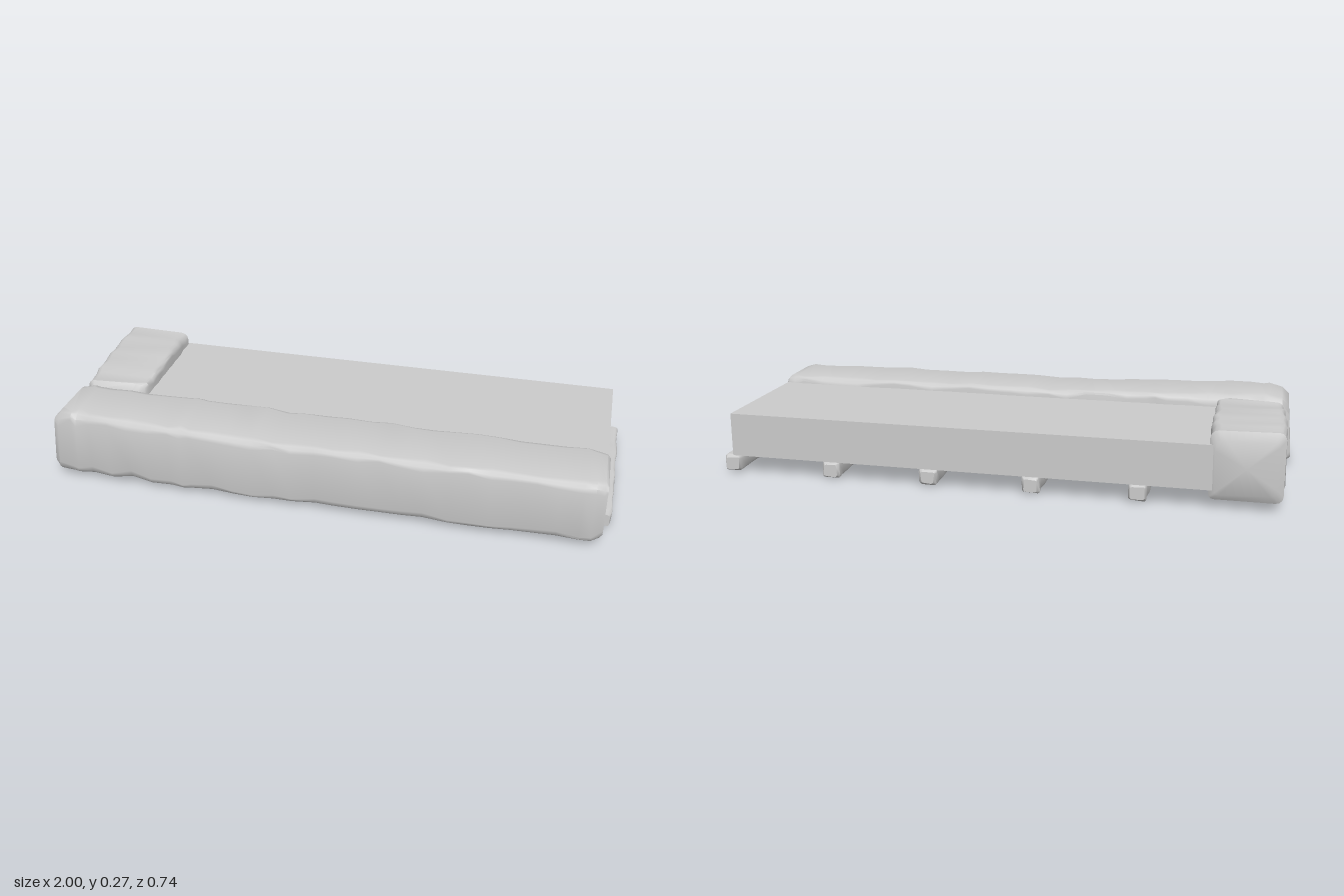
import * as THREE from 'three';
import { toCreasedNormals } from 'three/addons/utils/BufferGeometryUtils.js';

const material = new THREE.MeshStandardMaterial({ color: 0xcccccc });

// Small seeded noise in -1..1
function makeRandom(seed) {
  return () => {
    seed = (seed * 16807) % 2147483647;
    return (seed / 2147483647) * 2 - 1;
  };
}

// Linear lookup in key rows [x, zMin, zMax, yMin, yMax, cornerRadius]
function sample(keys, x) {
  let k = 0;
  while (k < keys.length - 2 && x > keys[k + 1][0]) k++;
  const a = keys[k], b = keys[k + 1];
  const t = (x - a[0]) / (b[0] - a[0]);
  return a.map((v, i) => v + (b[i] - v) * t);
}

// Rough-hewn block lofted along x through worn, rounded-rectangle sections
function roughBlock(keys, { inner, wear, seed, lean = 0 }) {
  const random = makeRandom(seed);
  const first = keys[0][0], last = keys[keys.length - 1][0];
  const xs = keys.map((k) => k[0]);
  for (let i = 1; i < inner; i++) {
    const x = first + ((last - first) * i) / inner;
    if (xs.every((v) => Math.abs(v - x) > 0.012)) xs.push(x);
  }
  xs.sort((a, b) => a - b);

  const positions = [], index = [], steps = 3, ring = 4 * (steps + 1);
  xs.forEach((x) => {
    const [, z0, z1, y0, y1, r] = sample(keys, x);
    const fade = Math.max(0, 1 - (x - first) / 0.25);
    for (let c = 0; c < 4; c++) {
      const radius = r * (1 + 0.45 * random());
      const right = c === 0 || c === 3, top = c < 2;
      const dz = wear * random(), dy = wear * random();
      for (let s = 0; s <= steps; s++) {
        const a = (c + s / steps) * Math.PI / 2;
        const y = (top ? y1 - radius : y0 + radius) + radius * Math.sin(a) + dy;
        const z = (right ? z1 - radius : z0 + radius) + radius * Math.cos(a) + dz;
        positions.push(x + lean * fade * (y - y0), y, z);
      }
    }
  });
  for (let i = 0; i < xs.length - 1; i++) {
    for (let j = 0; j < ring; j++) {
      const a = i * ring + j, b = i * ring + ((j + 1) % ring);
      index.push(a, a + ring, b, b, a + ring, b + ring);
    }
  }
  // End caps
  [0, xs.length - 1].forEach((i) => {
    const centre = positions.length / 3, mid = [0, 0, 0];
    for (let j = 0; j < ring; j++) {
      for (let k = 0; k < 3; k++) mid[k] += positions[(i * ring + j) * 3 + k] / ring;
    }
    positions.push(...mid);
    for (let j = 0; j < ring; j++) {
      const a = i * ring + j, b = i * ring + ((j + 1) % ring);
      if (i === 0) index.push(centre, a, b);
      else index.push(centre, b, a);
    }
  });
  const geometry = new THREE.BufferGeometry();
  geometry.setAttribute('position', new THREE.Float32BufferAttribute(positions, 3));
  geometry.setIndex(index);
  return toCreasedNormals(geometry, 0.7);
}

export function createModel() {
  const group = new THREE.Group();
  const add = (name, geometry) => {
    const mesh = new THREE.Mesh(geometry, material);
    mesh.name = name;
    group.add(mesh);
    return mesh;
  };

  // Plain flat slab
  add('slab', new THREE.BoxGeometry(1.71, 0.155, 0.5)).position.set(0.105, 0.1425, -0.115);

  // Long front stone, a little taller at its right end
  add('frontStone', roughBlock([
    [-0.997, 0.145, 0.35, 0.04, 0.235, 0.03],
    [-0.975, 0.125, 0.366, 0.022, 0.262, 0.035],
    [-0.9, 0.122, 0.37, 0.022, 0.272, 0.035],
    [-0.5, 0.122, 0.37, 0.02, 0.26, 0.025],
    [-0.1, 0.12, 0.37, 0.02, 0.248, 0.022],
    [0.05, 0.12, 0.37, 0.02, 0.253, 0.022],
    [0.45, 0.123, 0.37, 0.022, 0.249, 0.025],
    [0.93, 0.12, 0.367, 0.022, 0.248, 0.025],
    [0.957, 0.125, 0.36, 0.025, 0.243, 0.028],
    [0.967, 0.14, 0.35, 0.04, 0.232, 0.028],
  ], { inner: 26, wear: 0.003, seed: 71, lean: 0.09 }));

  // Shorter stone closing the right end; lofted along x, then turned to run along z
  add('endStone', roughBlock([
    [-0.37, 0.75, 0.955, 0.055, 0.24, 0.025],
    [-0.355, 0.733, 0.972, 0.035, 0.268, 0.025],
    [-0.25, 0.728, 0.975, 0.033, 0.271, 0.022],
    [-0.08, 0.732, 0.97, 0.033, 0.267, 0.022],
    [0.02, 0.728, 0.963, 0.035, 0.26, 0.022],
    [0.09, 0.732, 0.96, 0.038, 0.262, 0.025],
    [0.112, 0.75, 0.94, 0.06, 0.235, 0.025],
  ], { inner: 12, wear: 0.004, seed: 1234 })).rotation.y = -Math.PI / 2;

  // Five rough battens carrying the slab
  [-0.5, -0.135, 0.23, 0.59, 0.966].forEach((x, i) => {
    const batten = add('batten' + (i + 1), roughBlock([
      [-0.364, -0.024, 0.024, 0.012, 0.056, 0.008],
      [-0.352, -0.031, 0.031, 0.006, 0.063, 0.01],
      [-0.05, -0.03, 0.03, 0.003, 0.066, 0.01],
      [0.215, -0.028, 0.028, 0.009, 0.061, 0.01],
      [0.243, -0.021, 0.021, 0.015, 0.056, 0.008],
    ], { inner: 12, wear: 0.003, seed: 500 + i * 977 }));
    batten.rotation.y = -Math.PI / 2;
    batten.position.x = x;
  });

  return group;
}
